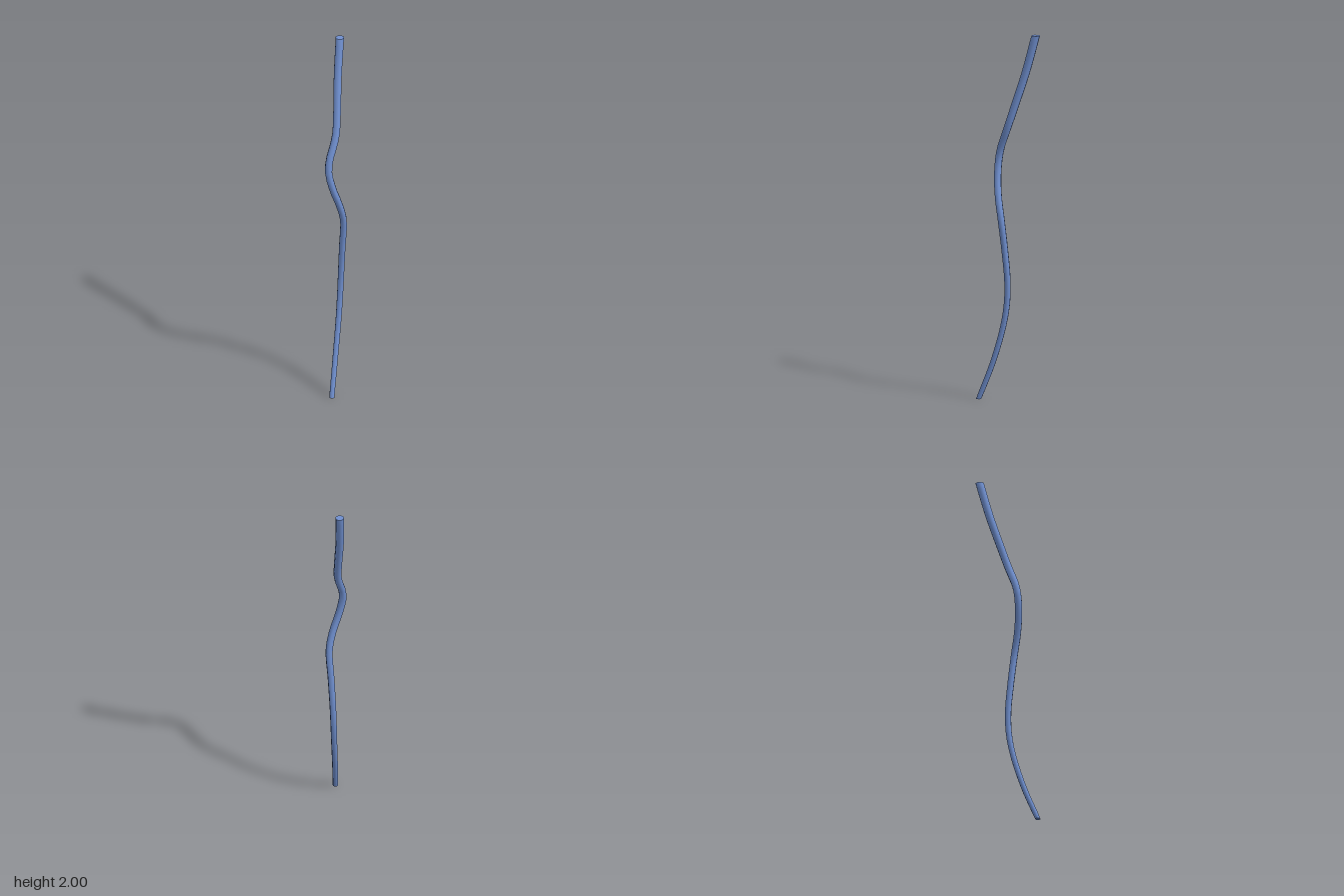
import * as THREE from 'three';

const SIDES = 8, RINGS = 48;
const R_BOTTOM = 0.0145, R_TOP = 0.0235;

// Centre line of the crooked stick, bottom to top
const path = new THREE.CatmullRomCurve3([
  [-0.135, 0, 0.095], [-0.065, 0.2, 0.055], [-0.01, 0.4, 0.027], [0.012, 0.53, 0.017],
  [0.019, 0.66, 0.018], [0.014, 0.82, 0.031], [0.004, 1.0, 0.049], [-0.024, 1.1, 0.045],
  [-0.056, 1.2, 0.028], [-0.07, 1.3, 0.011], [-0.057, 1.37, 0.006], [-0.025, 1.44, 0.004],
  [0.0, 1.5, -0.001], [0.028, 1.6, -0.02], [0.078, 1.8, -0.061], [0.125, 2, -0.09],
].map((p) => new THREE.Vector3(...p)));

// Octagonal cross-section at t; the two ends are cut level
function ring(t) {
  const level = t === 0 || t === 1;
  const up = level ? new THREE.Vector3(0, 1, 0) : path.getTangentAt(t);
  const u = new THREE.Vector3(1, 0, 0).addScaledVector(up, -up.x).normalize();
  const v = new THREE.Vector3().crossVectors(up, u);
  const centre = path.getPointAt(t);
  const r = THREE.MathUtils.lerp(R_BOTTOM, R_TOP, t);
  return Array.from({ length: SIDES }, (_, i) => {
    const a = ((i + 0.5) / SIDES) * Math.PI * 2;
    return centre.clone().addScaledVector(u, r * Math.cos(a)).addScaledVector(v, r * Math.sin(a));
  });
}

// Smooth tapering skin
function shaftGeometry() {
  const points = [], index = [];
  for (let j = 0; j <= RINGS; j++) points.push(...ring(j / RINGS));
  for (let j = 0; j < RINGS; j++) {
    for (let i = 0; i < SIDES; i++) {
      const a = j * SIDES + i, b = j * SIDES + ((i + 1) % SIDES);
      index.push(a, b, a + SIDES, b, b + SIDES, a + SIDES);
    }
  }
  const g = new THREE.BufferGeometry().setFromPoints(points);
  g.setIndex(index);
  g.computeVertexNormals();
  return g;
}

// Flat end face
function capGeometry(t) {
  const index = [];
  for (let i = 1; i < SIDES - 1; i++) index.push(0, ...(t ? [i, i + 1] : [i + 1, i]));
  const g = new THREE.BufferGeometry().setFromPoints(ring(t));
  g.setIndex(index);
  g.computeVertexNormals();
  return g;
}

export function createModel() {
  const group = new THREE.Group();
  group.name = 'crookedStick';
  const material = new THREE.MeshStandardMaterial({ color: 0x7090d0 });
  const add = (name, geometry) => {
    const mesh = new THREE.Mesh(geometry, material);
    mesh.name = name;
    group.add(mesh);
  };
  add('shaft', shaftGeometry());
  add('bottomEnd', capGeometry(0));
  add('topEnd', capGeometry(1));
  return group;
}
